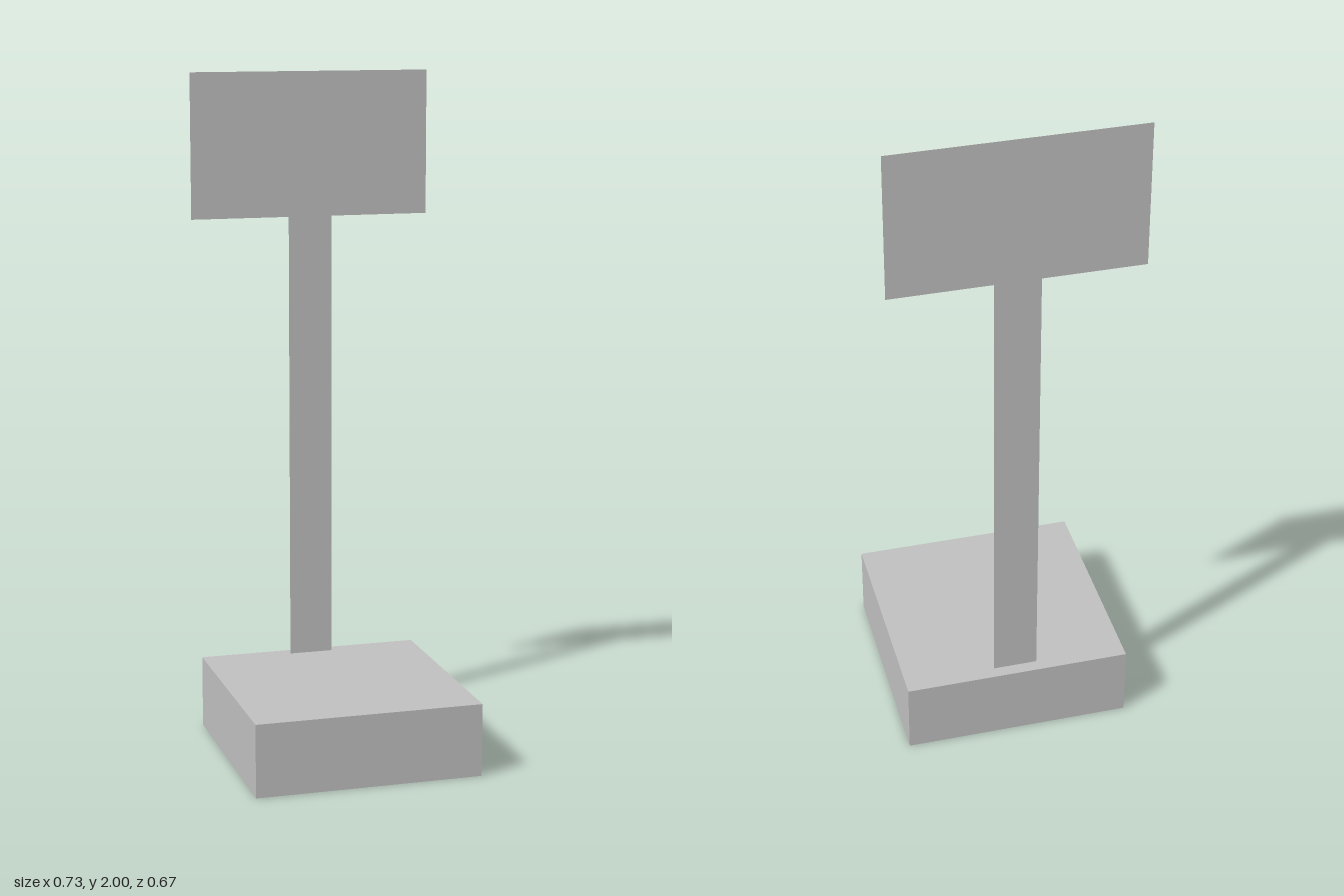
import * as THREE from 'three';

export function createModel() {
  const model = new THREE.Group();
  model.name = 'signpost';

  const grey = new THREE.MeshStandardMaterial({ color: 0xc0c0c0, side: THREE.DoubleSide });
  grey.name = 'plain grey';

  const baseSize = 0.674, baseHeight = 0.217;
  const boardBottom = 1.57, boardTop = 2, signZ = -0.3;

  // A flat sheet given by its size and centre
  function sheet(name, width, height, x, y, z, parent = model) {
    const mesh = new THREE.Mesh(new THREE.PlaneGeometry(width, height), grey);
    mesh.name = name;
    mesh.position.set(x, y, z);
    parent.add(mesh);
    return mesh;
  }

  // Hollow base: four walls and a top, open underneath
  const base = new THREE.Group();
  base.name = 'base';
  model.add(base);
  ['frontWall', 'leftWall', 'backWall', 'rightWall'].forEach((name, i) => {
    const a = i * Math.PI / 2, r = baseSize / 2;
    sheet(name, baseSize, baseHeight, Math.sin(a) * r, baseHeight / 2, Math.cos(a) * r, base).rotation.y = a;
  });
  sheet('baseTop', baseSize, baseSize, 0, baseHeight, 0, base).rotation.x = -Math.PI / 2;

  // Flat post near the back edge, carrying the flat board
  sheet('post', 0.132, boardBottom - baseHeight, 0, (boardBottom + baseHeight) / 2, signZ);
  sheet('board', 0.726, boardTop - boardBottom, 0, (boardTop + boardBottom) / 2, signZ);

  return model;
}
